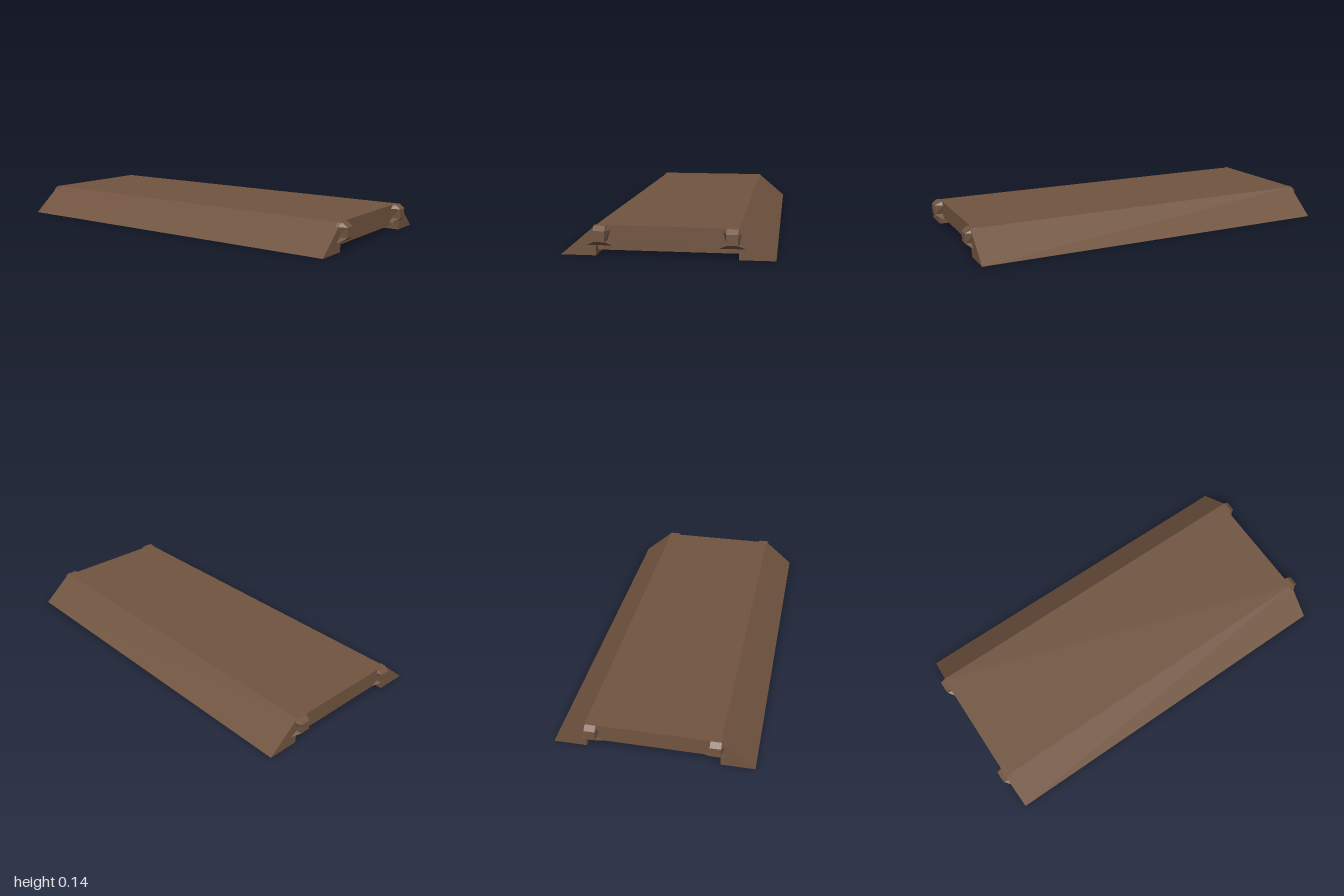
import * as THREE from 'three';

const wood = new THREE.MeshStandardMaterial({ color: 0x715440 });
wood.name = 'brownWood';

function add(group, geometry, name) {
  const mesh = new THREE.Mesh(geometry, wood);
  mesh.name = name;
  group.add(mesh);
  return mesh;
}

// Faceted end knob: stacked trapezoid sections, facing +z
function knobGeometry() {
  const back = 0.95;
  const sections = [ // y, half width at back, half width at front, front z
    [0.05, 0.062, 0.06, 0.972],
    [0.07, 0.03, 0.025, 1.0],
    [0.12, 0.046, 0.027, 1.0],
    [0.14, 0.03, 0.027, 0.975],
  ];
  const pos = [], index = [];
  for (const [y, b, f, z] of sections) pos.push(-b, y, back, -f, y, z, f, y, z, b, y, back);
  for (let s = 0; s < sections.length - 1; s++) {
    for (let i = 0; i < 4; i++) {
      const a = s * 4 + i, b = s * 4 + (i + 1) % 4;
      index.push(a, b, b + 4, a, b + 4, a + 4);
    }
  }
  const t = (sections.length - 1) * 4;
  index.push(0, 3, 2, 0, 2, 1, t, t + 1, t + 2, t, t + 2, t + 3);
  const g = new THREE.BufferGeometry();
  g.setAttribute('position', new THREE.Float32BufferAttribute(pos, 3));
  g.setIndex(index);
  const flat = g.toNonIndexed();
  flat.computeVertexNormals();
  return flat;
}

export function createModel() {
  const model = new THREE.Group();
  model.name = 'rampPlatform';

  // Flat deck
  add(model, new THREE.BoxGeometry(0.65, 0.09, 1.93), 'deck').position.set(0, 0.095, -0.008);

  // Sloped side rails with a triangular section
  for (const [side, z0, z1] of [[-1, -0.975, 0.964], [1, -0.97, 0.97]]) {
    const shape = new THREE.Shape();
    shape.moveTo(side * 0.325, 0);
    shape.lineTo(side * 0.49, 0);
    shape.lineTo(side * 0.325, 0.14);
    shape.closePath();
    const g = new THREE.ExtrudeGeometry(shape, { depth: z1 - z0, bevelEnabled: false });
    add(model, g, side > 0 ? 'leftSlope' : 'rightSlope').position.z = z0;
  }

  // Cross beams under the deck
  for (let i = 0; i < 10; i++) {
    add(model, new THREE.BoxGeometry(0.65, 0.035, 0.1), 'crossBeam').position.set(0, 0.0375, -0.83 + i * 0.19);
  }

  // Four knobs, two on each end
  const knob = knobGeometry();
  for (const end of [1, -1]) {
    for (const x of [-0.303, 0.297]) {
      const mesh = add(model, knob, end > 0 ? 'frontKnob' : 'backKnob');
      mesh.position.x = x;
      mesh.rotation.y = end > 0 ? 0 : Math.PI;
    }
  }
  return model;
}
